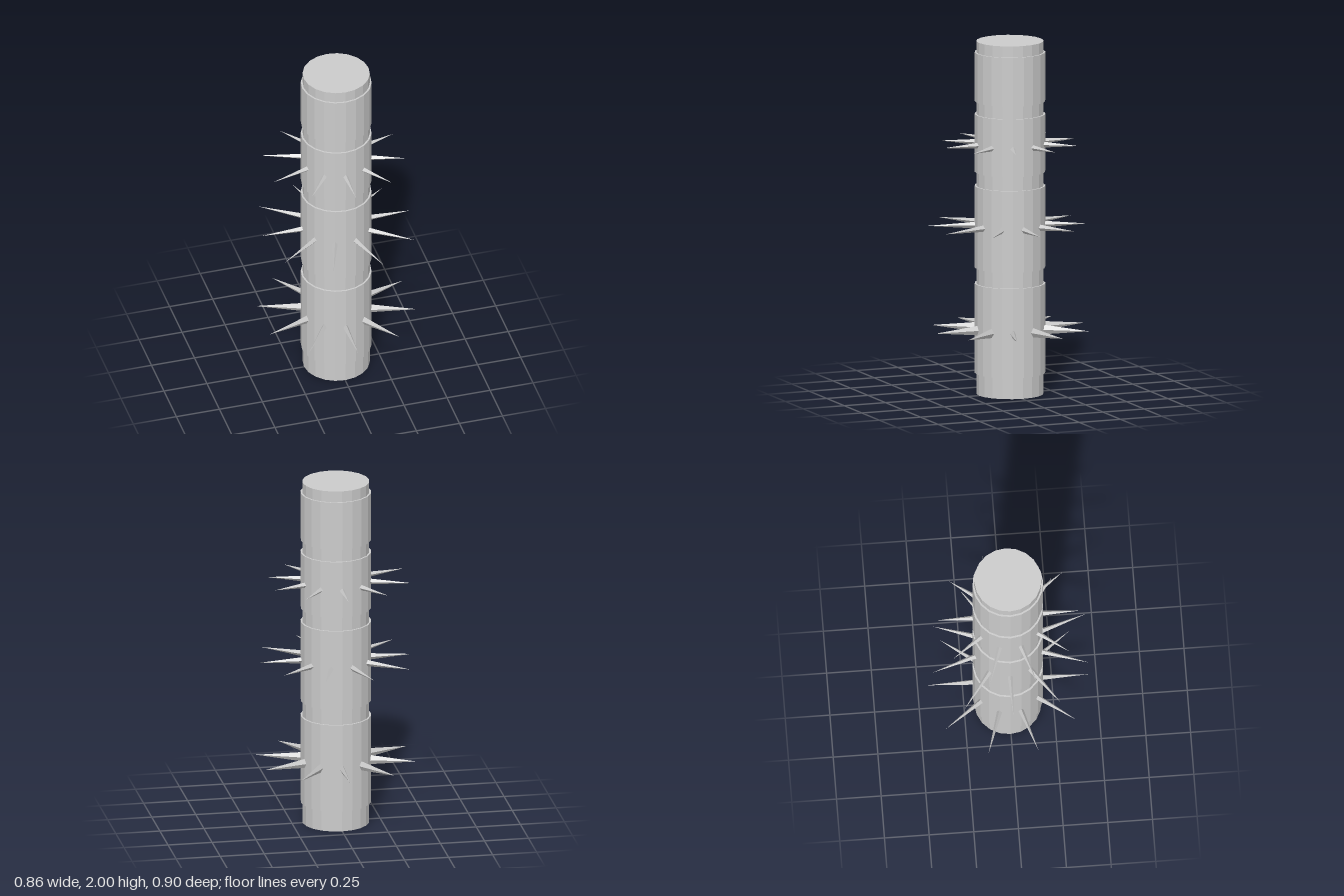
import * as THREE from 'three';

const SIDES = 20;

export function createModel() {
  const model = new THREE.Group();
  model.name = 'spikedColumn';
  const material = new THREE.MeshStandardMaterial({ color: 0xcccccc, flatShading: true });

  // The column sits slightly off centre because the spikes differ in length
  const column = new THREE.Group();
  column.name = 'column';
  column.position.set(0.002, 0, -0.004);
  model.add(column);

  const addDrum = (name, radius, bottom, top) => {
    const drum = new THREE.Mesh(new THREE.CylinderGeometry(radius, radius, top - bottom, SIDES), material);
    drum.name = name;
    drum.position.y = (bottom + top) / 2;
    column.add(drum);
  };

  // Core shaft and the four raised sleeves around it
  addDrum('core', 0.188, 0, 2);
  [[0.12, 0.627], [0.717, 1.18], [1.26, 1.587], [1.66, 1.937]].forEach(([bottom, top], i) =>
    addDrum(`sleeve${i + 1}`, 0.198, bottom, top));

  // Rings of ten four-sided spikes; reach is the tip's distance from the axis
  const rings = [
    { name: 'lowerSpikes', y: 0.37, start: 0, halfHeight: 0.029,
      reach: [0.45, 0.45, 0.45, 0.45, 0.453, 0.451, 0.455, 0.452, 0.45, 0.45] },
    { name: 'middleSpikes', y: 0.957, start: 18, halfHeight: 0.02,
      reach: [0.475, 0.466, 0.43, 0.42, 0.43, 0.453, 0.46, 0.432, 0.467, 0.465] },
    { name: 'upperSpikes', y: 1.418, start: 0, halfHeight: 0.018,
      reach: [0.4, 0.4, 0.385, 0.385, 0.39, 0.4, 0.4, 0.43, 0.43, 0.4] },
  ];
  const root = 0.175;
  for (const { name, y, start, halfHeight, reach } of rings) {
    const ring = new THREE.Group();
    ring.name = name;
    ring.position.y = y;
    reach.forEach((tip, i) => {
      const length = tip - root;
      const geometry = new THREE.ConeGeometry(1, 1, 4);
      geometry.scale(0.016, length, halfHeight);
      geometry.rotateX(Math.PI / 2);
      geometry.translate(0, 0, root + length / 2);
      const spike = new THREE.Mesh(geometry, material);
      spike.name = 'spike';
      spike.rotation.y = THREE.MathUtils.degToRad(start + i * 36);
      ring.add(spike);
    });
    column.add(ring);
  }
  return model;
}
